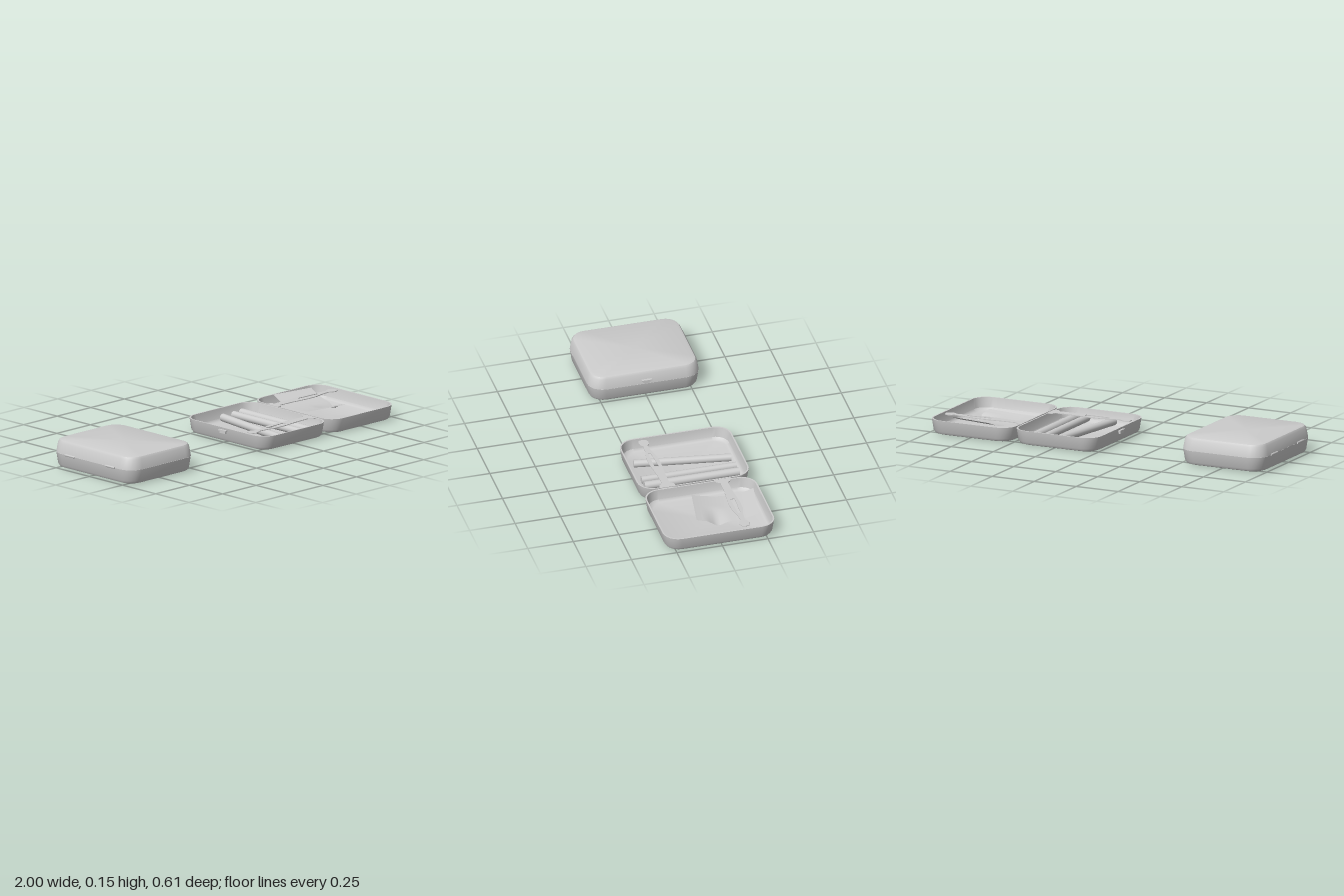
import * as THREE from 'three';
import { toCreasedNormals } from 'three/addons/utils/BufferGeometryUtils.js';

const metal = new THREE.MeshStandardMaterial({ color: 0xcccccc });
metal.name = 'plain grey';
const sheet = new THREE.MeshStandardMaterial({ color: 0xcccccc, side: THREE.DoubleSide });
sheet.name = 'plain grey sheet';

function add(parent, name, geometry, material = metal, x = 0, y = 0, z = 0) {
  const mesh = new THREE.Mesh(geometry, material);
  mesh.name = name;
  mesh.position.set(x, y, z);
  parent.add(mesh);
  return mesh;
}

// Rounded rectangle ring, shrunk by an inset
function ring(inset, y) {
  const points = [], r = Math.max(0.085 - inset * 0.7, 0.02), steps = 6;
  const hw = 0.248 - inset, hd = 0.306 - inset;
  for (let c = 0; c < 4; c++) {
    const sx = c === 0 || c === 3 ? 1 : -1, sz = c < 2 ? 1 : -1;
    for (let i = 0; i <= steps; i++) {
      const a = (c + i / steps) * Math.PI / 2;
      points.push([sx * (hw - r) + r * Math.cos(a), y, sz * (hd - r) + r * Math.sin(a)]);
    }
  }
  return points;
}

// Shallow open shell: outside of the floor, wall, rim, inside wall, inside floor
function trayGeometry() {
  const profile = [[0.03, 0], [0.017, 0.005], [0.009, 0.018], [0, 0.08],
    [0.008, 0.08], [0.016, 0.026], [0.026, 0.015], [0.038, 0.011]];
  const rings = profile.map(([inset, y]) => ring(inset, y));
  const n = rings[0].length, pos = [], idx = [];
  rings.flat().forEach(p => pos.push(...p));
  for (let j = 0; j < rings.length - 1; j++) {
    for (let i = 0; i < n; i++) {
      const a = j * n + i, b = j * n + (i + 1) % n;
      idx.push(a, a + n, b, b, a + n, b + n);
    }
  }
  const last = (rings.length - 1) * n, mid = pos.length / 3;
  pos.push(0, 0, 0, 0, 0.011, 0);
  for (let i = 0; i < n; i++) {
    const k = (i + 1) % n;
    idx.push(mid, i, k, mid + 1, last + k, last + i);
  }
  const g = new THREE.BufferGeometry();
  g.setAttribute('position', new THREE.Float32BufferAttribute(pos, 3));
  g.setIndex(idx);
  return toCreasedNormals(g, 0.6);
}

// Flat retaining arm: flared hinge end at the origin, rounded head towards +x
function armGeometry() {
  const half = [[0, 0.045], [0.025, 0.04], [0.04, 0.02], [0.12, 0.022], [0.24, 0.032],
    [0.3, 0.03], [0.36, 0.016], [0.41, 0.012], [0.425, 0.024], [0.445, 0.028], [0.465, 0.02], [0.472, 0]];
  const under = half.slice(0, -1).reverse().map(([x, w]) => [x, -w]);
  const shape = new THREE.Shape([...half, ...under].map(([x, w]) => new THREE.Vector2(x, w)));
  const slot = [[0.2, 0.012], [0.2, -0.012], [0.34, -0.007], [0.34, 0.007]];
  shape.holes.push(new THREE.Path(slot.map(([x, w]) => new THREE.Vector2(x, w))));
  const g = new THREE.ExtrudeGeometry(shape, { depth: 0.004, bevelEnabled: false });
  g.rotateX(-Math.PI / 2);
  return g;
}

// Loose sheet of paper, curling up at the back and creased on its right edge
function paperGeometry() {
  const g = new THREE.PlaneGeometry(0.245, 0.33, 14, 18);
  g.rotateX(-Math.PI / 2);
  const p = g.attributes.position;
  for (let i = 0; i < p.count; i++) {
    const u = p.getX(i) / 0.1225, v = p.getZ(i) / 0.165;
    const back = Math.max(0, -v), front = Math.max(0, v);
    const crease = Math.max(0, u + 0.1) * Math.max(0, 1 - Math.abs(v - 0.3) / 0.35);
    p.setY(i, 0.05 + 0.04 * back ** 2 + 0.02 * front ** 2 - 0.025 * crease);
  }
  g.computeVertexNormals();
  return g;
}

// Push button on the side of a case
function clasp(parent, x, y, side) {
  const g = new THREE.Group();
  g.name = 'clasp';
  g.position.set(x, y, 0);
  add(g, 'claspBase', new THREE.BoxGeometry(0.016, 0.012, 0.04), metal, 0, -0.006, 0);
  add(g, 'claspLip', new THREE.BoxGeometry(0.018, 0.006, 0.056), metal, side * 0.002, 0.004, 0);
  parent.add(g);
}

export function createModel() {
  const model = new THREE.Group();
  model.name = 'pocketCases';
  const tray = trayGeometry(), arm = armGeometry();

  // Closed case
  const closed = new THREE.Group();
  closed.name = 'closedCase';
  closed.position.x = -0.745;
  add(closed, 'closedBase', tray);
  const lid = add(closed, 'closedLid', tray, metal, 0, 0.151, 0);
  lid.rotation.x = Math.PI;
  lid.scale.y = 0.88;
  clasp(closed, 0.247, 0.099, 1);
  for (const z of [-0.15, 0.15]) {
    const knuckle = add(closed, 'closedHinge', new THREE.CylinderGeometry(0.006, 0.006, 0.07, 10), metal, -0.247, 0.08, z);
    knuckle.rotation.x = Math.PI / 2;
  }
  model.add(closed);

  // Open case
  const open = new THREE.Group();
  open.name = 'openCase';
  add(open, 'openBase', tray, metal, 0.246, 0, 0);
  add(open, 'openLid', tray, metal, 0.75, 0, 0);
  clasp(open, -0.003, 0.062, -1);
  for (const z of [-0.14, 0.16]) {
    const knuckle = add(open, 'openHinge', new THREE.CylinderGeometry(0.006, 0.006, 0.08, 10), metal, 0.498, 0.073, z);
    knuckle.rotation.x = Math.PI / 2;
  }

  // Retaining arms
  const leftArm = add(open, 'lidArm', arm, metal, 0.498, 0.078, -0.138);
  leftArm.name = 'lidArm';
  const baseArm = add(open, 'baseArm', arm, metal, 0.492, 0.076, 0.158);
  baseArm.rotation.y = Math.PI + 0.025;

  // Thin rolls lying in the base: x, z-axis turn, radius
  for (const [x, turn, r] of [[0.21, -0.152, 0.021], [0.332, 0, 0.02], [0.391, 0, 0.023]]) {
    const g = new THREE.CylinderGeometry(r, r, 0.52, 16);
    g.rotateX(Math.PI / 2);
    const roll = add(open, 'roll', g, metal, x, 0.04, 0);
    roll.rotation.y = turn;
  }

  // Paper under the lid arm
  const paper = add(open, 'paper', paperGeometry(), sheet, 0.733, 0, -0.088);
  paper.rotation.y = -0.16;
  model.add(open);
  return model;
}
